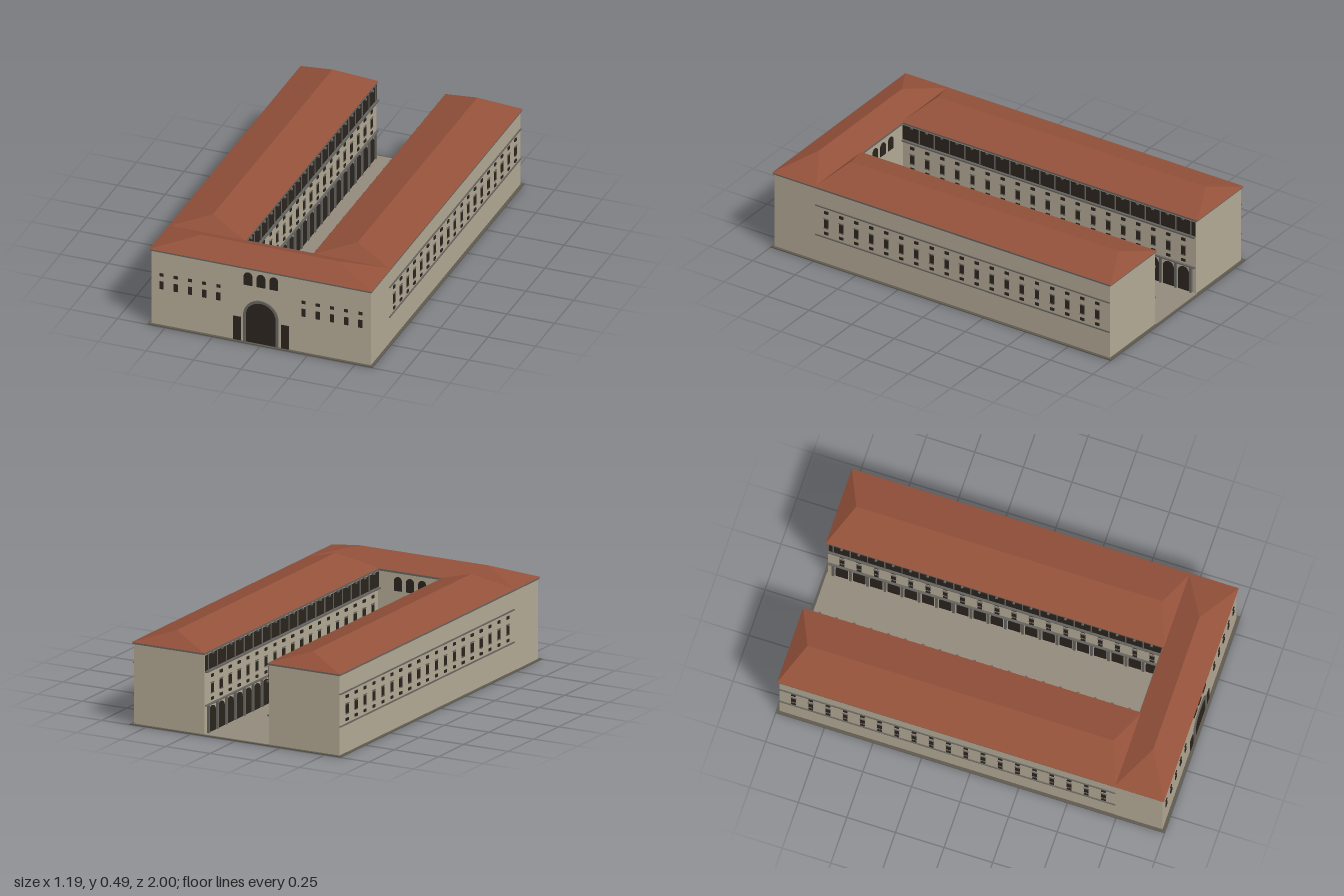
import * as THREE from 'three';

const mat = (color) => new THREE.MeshStandardMaterial({ color, flatShading: true });

export function createModel() {
  const model = new THREE.Group();
  model.name = 'courtyardBuilding';
  const wall = mat(0xb3a995), roof = mat(0x93513a), dark = mat(0x2b241e);
  const trim = mat(0x66645f), paving = mat(0x928b7c), slab = mat(0x5f5a50);

  const add = (parent, name, geo, material) => {
    const mesh = new THREE.Mesh(geo, material);
    mesh.name = name;
    parent.add(mesh);
    return mesh;
  };
  // Box given by its limits on each axis
  const box = (parent, name, material, x0, x1, y0, y1, z0, z1) => {
    const mesh = add(parent, name, new THREE.BoxGeometry(x1 - x0, y1 - y0, z1 - z0), material);
    mesh.position.set((x0 + x1) / 2, (y0 + y1) / 2, (z0 + z1) / 2);
    return mesh;
  };
  const group = (name, parent = model) => {
    const g = new THREE.Group();
    g.name = name;
    parent.add(g);
    return g;
  };

  // Round-headed outline standing on y = 0
  const archPath = (path, w, h) => {
    const r = w / 2;
    path.moveTo(-r, 0);
    path.lineTo(r, 0);
    path.lineTo(r, h - r);
    path.absarc(0, h - r, r, 0, Math.PI, false);
    path.lineTo(-r, 0);
    return path;
  };
  const archGeo = (w, h, depth, inner = 0) => {
    const shape = archPath(new THREE.Shape(), w, h);
    if (inner) shape.holes.push(archPath(new THREE.Path(), w - 2 * inner, h - inner));
    const geo = new THREE.ExtrudeGeometry(shape, { depth, bevelEnabled: false, curveSegments: 12 });
    return geo.translate(0, 0, -depth / 2);
  };

  // Hipped roof with its ridge along z; a and b are the hip insets at -z and +z
  const hipRoof = (w, l, h, a, b) => {
    const x = w / 2, z = l / 2;
    const A = [-x, 0, -z], B = [-x, 0, z], C = [x, 0, z], D = [x, 0, -z];
    const P = [0, h, -z + a], Q = [0, h, z - b];
    const tris = [A, B, Q, A, Q, P, B, C, Q, C, D, P, C, P, Q, D, A, P, A, D, C, A, C, B];
    const geo = new THREE.BufferGeometry();
    geo.setAttribute('position', new THREE.Float32BufferAttribute(tris.flat(), 3));
    geo.computeVertexNormals();
    return geo;
  };

  // Ground slab and courtyard paving
  box(model, 'baseSlab', slab, -0.593, 0.593, 0, 0.005, -1, 1);
  box(model, 'courtyardPaving', paving, -0.18, 0.18, 0.004, 0.007, -0.99, 0.74);

  // Front block
  const front = group('frontBlock');
  box(front, 'frontWalls', wall, -0.578, 0.578, 0.004, 0.412, 0.737, 0.985);
  box(front, 'frontCornice', trim, -0.583, 0.583, 0.41, 0.42, 0.735, 0.991);
  const frontRoof = add(front, 'frontRoof', hipRoof(0.258, 1.172, 0.06, 0.225, 0.225), roof);
  frontRoof.rotation.y = Math.PI / 2;
  frontRoof.position.set(0, 0.42, 0.866);

  // Gate and triple arched windows on the street and courtyard sides
  for (const [side, z] of [['street', 0.985], ['court', 0.737]]) {
    const face = group(side + 'Gate', front);
    add(face, 'gateOpening', archGeo(0.155, 0.238, 0.006), dark).position.set(0, 0.003, z);
    add(face, 'gateSurround', archGeo(0.184, 0.242, 0.016, 0.013), trim).position.set(0, 0.003, z);
    for (const x of [-0.068, 0, 0.068]) {
      add(face, 'archedWindow', archGeo(0.044, 0.071, 0.008), dark).position.set(x, 0.32, z);
    }
    for (const s of [-1, 1]) {
      const d = box(face, 'sideDoor', dark, -0.02, 0.02, 0.005, 0.135, -0.004, 0.004);
      d.position.x = s * 0.127;
      d.position.z = z;
    }
  }

  // Front windows, five bays each side
  for (const s of [-1, 1]) {
    for (let i = 0; i < 5; i++) {
      const x = s * (0.224 + i * 0.0748);
      box(front, 'frontWindow', dark, x - 0.0105, x + 0.0105, 0.205, 0.247, 0.981, 0.989);
      box(front, 'frontUpperWindow', dark, x - 0.01, x + 0.01, 0.276, 0.292, 0.981, 0.989);
    }
  }

  // One row of wing windows on a wall plane at x, with lintels and sills
  const bays = 19, firstZ = 0.682, step = 0.0886;
  const wingWindows = (parent, x) => {
    for (let i = 0; i < bays; i++) {
      const z = firstZ - i * step;
      for (const [y0, y1] of [[0.166, 0.18], [0.205, 0.248], [0.282, 0.297]]) {
        box(parent, 'wingWindow', dark, x - 0.005, x + 0.005, y0, y1, z - 0.0115, z + 0.0115);
      }
      box(parent, 'windowLintel', trim, x - 0.006, x + 0.006, 0.252, 0.256, z - 0.015, z + 0.015);
      box(parent, 'windowSill', trim, x - 0.006, x + 0.006, 0.2, 0.204, z - 0.014, z + 0.014);
    }
  };

  // Two long wings, mirrored by placing each part at s * x
  const wingPart = (parent, s, name, material, xa, xb, ...rest) =>
    box(parent, name, material, Math.min(s * xa, s * xb), Math.max(s * xa, s * xb), ...rest);
  for (const s of [1, -1]) {
    const wing = group(s > 0 ? 'leftWing' : 'rightWing');
    const inner = 0.18;
    wingPart(wing, s, 'wingWalls', wall, inner, 0.577, 0.004, 0.412, -0.985, 0.745);
    wingPart(wing, s, 'wingCornice', trim, 0.177, 0.583, 0.41, 0.42, -0.991, 0.745);
    const top = add(wing, 'wingRoof', hipRoof(0.408, 1.742, 0.068, 0.09, 0.078), roof);
    top.position.set(s * 0.381, 0.42, -0.125);

    // Outer facade
    wingWindows(wing, s * 0.577);
    for (const y of [0.15, 0.315]) {
      wingPart(wing, s, 'outerStringCourse', trim, 0.575, 0.583, y - 0.003, y + 0.003, -0.985, 0.745);
    }

    // Courtyard facade: arcade, windows and top loggia
    wingWindows(wing, s * inner);
    wingPart(wing, s, 'loggiaOpening', dark, 0.176, 0.184, 0.328, 0.405, -0.982, 0.737);
    wingPart(wing, s, 'loggiaLedge', trim, 0.165, 0.184, 0.318, 0.326, -0.982, 0.737);
    wingPart(wing, s, 'arcadeLedge', trim, 0.168, 0.184, 0.147, 0.153, -0.982, 0.737);
    for (let i = 0; i < bays; i++) {
      const z = firstZ - i * step;
      const arch = add(wing, 'arcadeArch', archGeo(0.062, 0.132, 0.01), dark);
      arch.rotation.y = Math.PI / 2;
      arch.position.set(s * inner, 0.005, z);
      const zc = z - step / 2;
      wingPart(wing, s, 'arcadePier', trim, 0.169, 0.182, 0.005, 0.148, zc - 0.006, zc + 0.006);
      wingPart(wing, s, 'loggiaPost', trim, 0.172, 0.178, 0.326, 0.41, zc - 0.003, zc + 0.003);
      wingPart(wing, s, 'eavesBracket', trim, 0.168, 0.18, 0.402, 0.411, z - 0.006, z + 0.006);
    }
  }
  return model;
}
